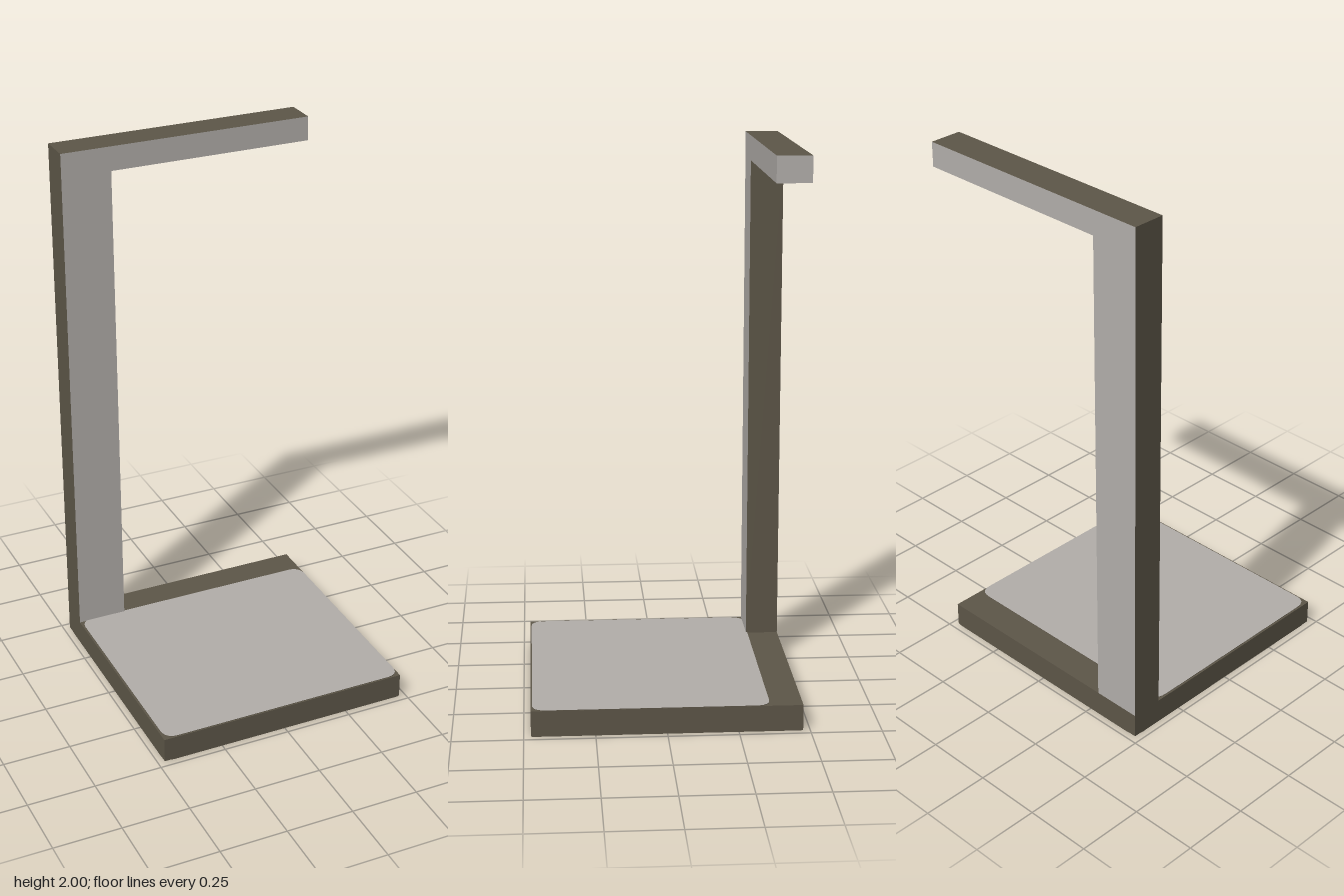
import * as THREE from 'three';

const HALF = 0.475;       // half width of the base
const BASE_TOP = 0.094;
const FRAME_DEPTH = 0.12;
const PLATE = 0.002;      // thickness of inlaid plates

// Rectangle in x and -z with its own corner radius for the left and right sides
function plateShape(x0, y0, x1, y1, rLeft, rRight) {
  const s = new THREE.Shape();
  s.moveTo(x0 + rLeft, y0);
  s.lineTo(x1 - rRight, y0);
  s.quadraticCurveTo(x1, y0, x1, y0 + rRight);
  s.lineTo(x1, y1 - rRight);
  s.quadraticCurveTo(x1, y1, x1 - rRight, y1);
  s.lineTo(x0 + rLeft, y1);
  s.quadraticCurveTo(x0, y1, x0, y1 - rLeft);
  s.lineTo(x0, y0 + rLeft);
  s.quadraticCurveTo(x0, y0, x0 + rLeft, y0);
  return s;
}

export function createModel() {
  const group = new THREE.Group();
  const paleGrey = new THREE.MeshStandardMaterial({ name: 'paleGrey', color: 0xb2aeaa });
  const darkBrown = new THREE.MeshStandardMaterial({ name: 'darkBrown', color: 0x5d5648 });

  const add = (name, geometry, material, x = 0, y = 0, z = 0) => {
    const mesh = new THREE.Mesh(geometry, material);
    mesh.name = name;
    mesh.position.set(x, y, z);
    group.add(mesh);
    return mesh;
  };

  // Square base slab
  const slabHeight = BASE_TOP - PLATE;
  add('base', new THREE.BoxGeometry(HALF * 2, slabHeight, HALF * 2), darkBrown, 0, PLATE + slabHeight / 2, 0);

  // Rounded pale plates on the top and underside of the base
  const plate = (name, shape, y) => {
    const geometry = new THREE.ExtrudeGeometry(shape, { depth: PLATE, bevelEnabled: false, curveSegments: 6 });
    geometry.rotateX(-Math.PI / 2);
    add(name, geometry, [paleGrey, darkBrown], 0, y, 0);
  };
  plate('basePlate', plateShape(-0.468, -0.47, 0.474, 0.36, 0.05, 0.05), BASE_TOP);
  plate('undersidePlate', plateShape(-HALF, -HALF, HALF, HALF, 0.04, 0.01), 0);

  // Post and arm in one piece: pale front and back, brown edges
  const armEnd = HALF - PLATE;
  const outline = new THREE.Shape([
    [-HALF, BASE_TOP], [-0.29, BASE_TOP], [-0.29, 1.91], [armEnd, 1.91], [armEnd, 2], [-HALF, 2],
  ].map(([x, y]) => new THREE.Vector2(x, y)));
  const frame = new THREE.ExtrudeGeometry(outline, { depth: FRAME_DEPTH, bevelEnabled: false });
  add('postAndArm', frame, [paleGrey, darkBrown], 0, 0, -HALF);

  // Pale cap on the free end of the arm
  add('armEndCap', new THREE.BoxGeometry(PLATE, 0.09, FRAME_DEPTH),
    [paleGrey, paleGrey, darkBrown, darkBrown, paleGrey, paleGrey],
    HALF - PLATE / 2, 1.955, -HALF + FRAME_DEPTH / 2);

  return group;
}
